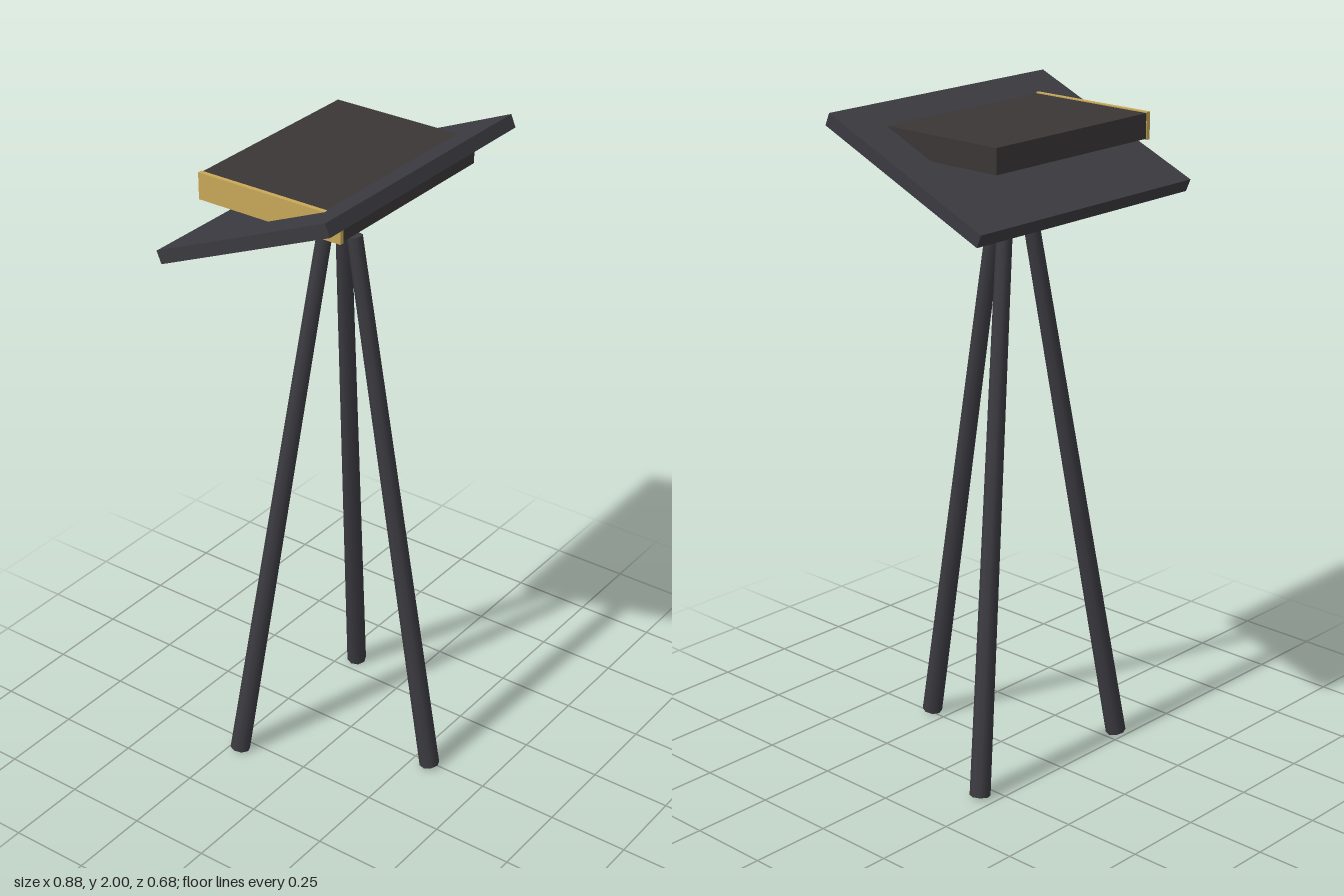
import * as THREE from 'three';

const material = (color) => new THREE.MeshStandardMaterial({ color });

export function createModel() {
  const group = new THREE.Group();
  const metal = material(0x3a3a40);
  const cover = material(0x3a3636);
  const gold = material(0xc8a858);

  function add(name, geometry, mat, x, y, z) {
    const mesh = new THREE.Mesh(geometry, mat);
    mesh.name = name;
    mesh.position.set(x, y, z);
    group.add(mesh);
    return mesh;
  }

  // Tilted desk top, high edge to the front
  const desk = add('deskTop', new THREE.BoxGeometry(0.876, 0.04, 0.625), metal, 0, 1.86, -0.042);
  desk.rotation.x = -0.402;

  // Level book sunk through the desk, with a gilt spine on its right side
  add('book', new THREE.BoxGeometry(0.626, 0.074, 0.474), cover, 0, 1.923, -0.038);
  add('bookSpine', new THREE.BoxGeometry(0.014, 0.08, 0.478), gold, -0.315, 1.923, -0.038);

  // Three splayed, tapering legs around a common axis
  const up = new THREE.Vector3(0, 1, 0);
  for (let i = 0; i < 3; i++) {
    const angle = Math.PI / 2 + 0.03 + (i * Math.PI * 2) / 3;
    const at = (radius, y) =>
      new THREE.Vector3(Math.cos(angle) * radius, y, -0.035 + Math.sin(angle) * radius);
    const top = at(0.049, 1.731);
    const foot = at(0.344, 0.005);
    const axis = top.clone().sub(foot);
    const mid = top.clone().add(foot).multiplyScalar(0.5);
    const leg = add('leg' + (i + 1), new THREE.CylinderGeometry(0.023, 0.031, axis.length(), 8),
      metal, mid.x, mid.y, mid.z);
    leg.quaternion.setFromUnitVectors(up, axis.normalize());
  }

  return group;
}
